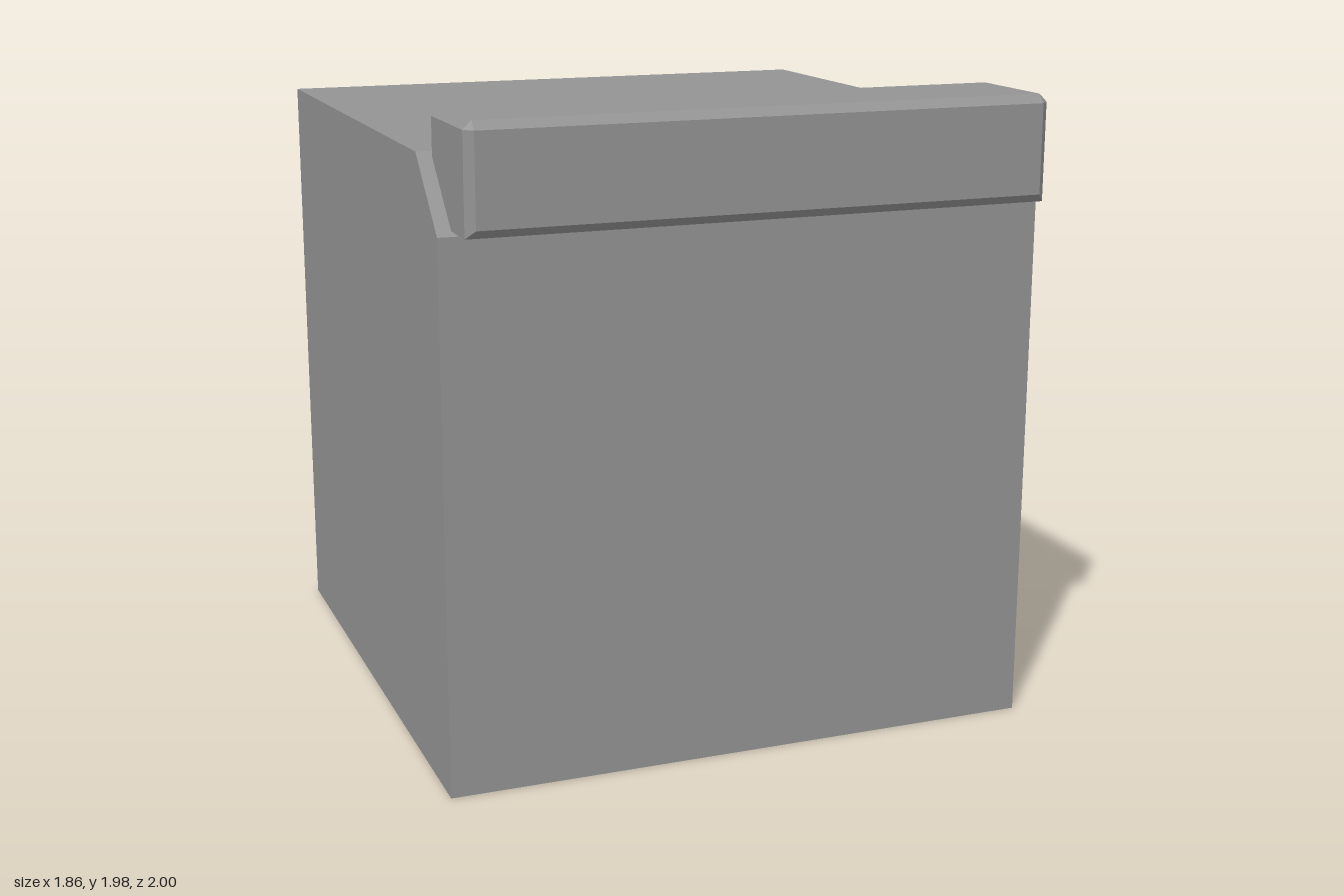
import * as THREE from 'three';
import { ConvexGeometry } from 'three/addons/geometries/ConvexGeometry.js';

const material = new THREE.MeshStandardMaterial({ color: 0x939393, flatShading: true });

// Box with chamfered edges, except that the ends run straight down to the base
function chamferedBar(w, h, d, c) {
  const [x, y, z] = [w / 2, h / 2, d / 2];
  const points = [];
  for (const sx of [-1, 1]) for (const sz of [-1, 1]) {
    const add = (px, py, pz) => points.push(new THREE.Vector3(sx * px, py, sz * pz));
    // top corner
    add(x, y - c, z - c);
    add(x - c, y, z - c);
    add(x - c, y - c, z);
    // bottom corner
    add(x - c, -y + c, z);
    add(x, -y, z - c);
  }
  return new ConvexGeometry(points);
}

export function createModel() {
  const group = new THREE.Group();

  // Block with its top front edge cut away: side profile (z, y) swept along x
  const width = 1.855;
  const profile = new THREE.Shape([
    [-1, 0], [0.856, 0], [0.856, 1.648], [0.643, 1.854], [-1, 1.854],
  ].map(([z, y]) => new THREE.Vector2(z, y)));
  const bodyGeometry = new THREE.ExtrudeGeometry(profile, { depth: width, bevelEnabled: false });
  bodyGeometry.translate(0, 0, -width / 2).rotateY(-Math.PI / 2);
  const body = new THREE.Mesh(bodyGeometry, material);
  body.name = 'body';
  group.add(body);

  // Chamfered bar seated in the cut edge
  const bar = new THREE.Mesh(chamferedBar(1.76, 0.317, 0.367, 0.025), material);
  bar.name = 'frontBar';
  bar.position.set(-0.004, 1.8195, 0.8165);
  group.add(bar);

  return group;
}
